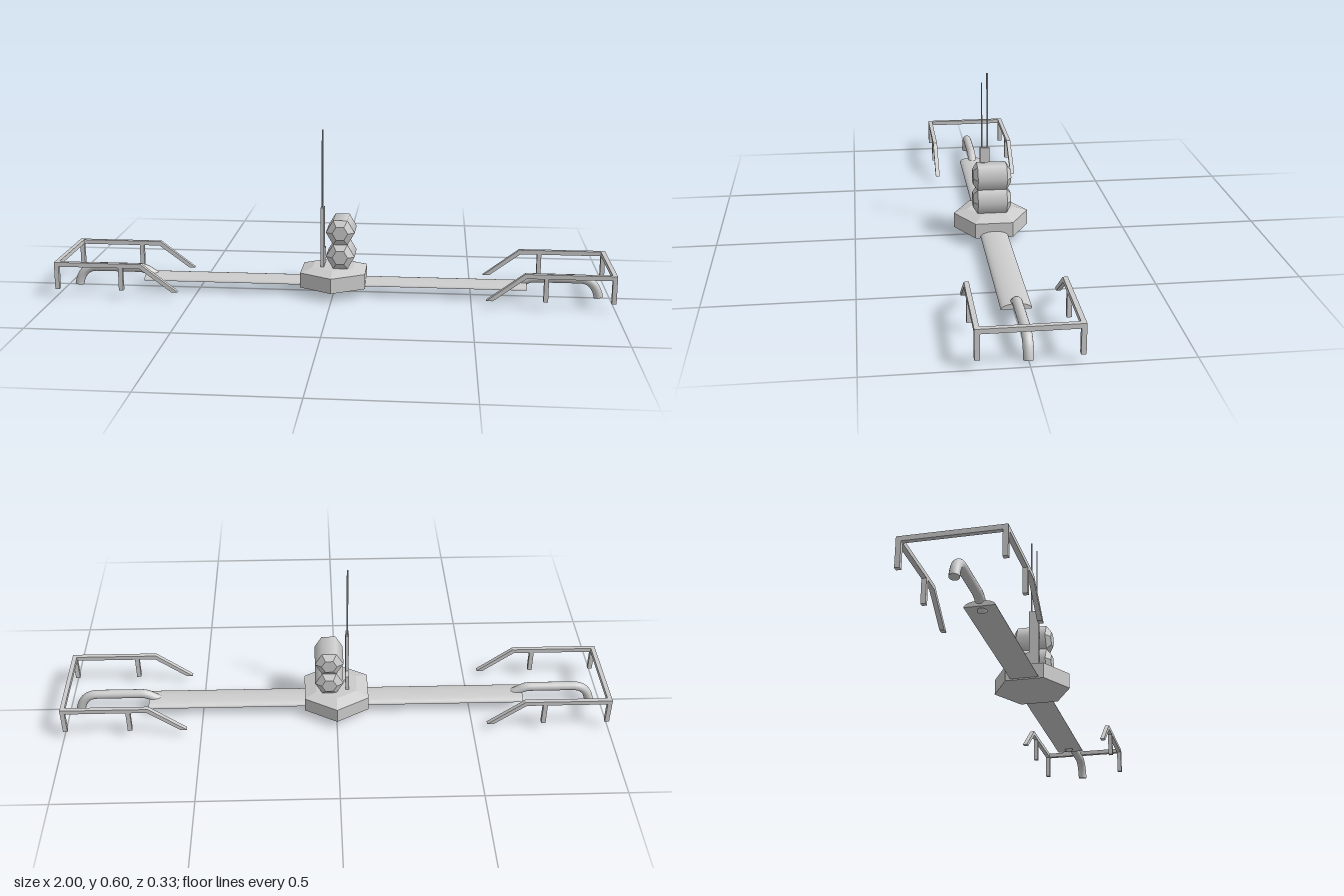
import * as THREE from 'three';

const smooth = new THREE.MeshStandardMaterial({ color: 0xcccccc });
const flat = new THREE.MeshStandardMaterial({ color: 0xcccccc, flatShading: true });

function add(parent, name, geometry, material, x = 0, y = 0, z = 0) {
  const mesh = new THREE.Mesh(geometry, material);
  mesh.name = name;
  mesh.position.set(x, y, z);
  parent.add(mesh);
  return mesh;
}

// box given by its minimum and maximum corners
function box(parent, name, a, b) {
  const size = b.map((v, i) => v - a[i]);
  const mid = b.map((v, i) => (v + a[i]) / 2);
  return add(parent, name, new THREE.BoxGeometry(...size), flat, ...mid);
}

// hexagonal drum along z with chamfered ends
function drum(y) {
  const group = new THREE.Group();
  group.name = 'drum';
  const hex = (front, back, depth, open) =>
    new THREE.CylinderGeometry(front, back, depth, 6, 1, open, Math.PI / 2).rotateX(Math.PI / 2);
  add(group, 'drumBody', hex(0.052, 0.052, 0.106, true), smooth);
  add(group, 'drumFrontEnd', hex(0.028, 0.052, 0.016), flat, 0, 0, 0.061);
  add(group, 'drumBackEnd', hex(0.052, 0.028, 0.016), flat, 0, 0, -0.061);
  group.position.set(0.027, y, 0);
  return group;
}

// bent hose with closed ends
function hose() {
  const group = new THREE.Group();
  group.name = 'hose';
  const v = (x, y) => new THREE.Vector3(x, y, 0);
  const path = new THREE.CurvePath();
  path.add(new THREE.LineCurve3(v(0.66, 0.037), v(0.697, 0.06)));
  path.add(new THREE.QuadraticBezierCurve3(v(0.697, 0.06), v(0.712, 0.069), v(0.732, 0.069)));
  path.add(new THREE.LineCurve3(v(0.732, 0.069), v(0.89, 0.069)));
  path.add(new THREE.CubicBezierCurve3(v(0.89, 0.069), v(0.93, 0.069), v(0.952, 0.045), v(0.961, 0.002)));
  add(group, 'hoseTube', new THREE.TubeGeometry(path, 60, 0.0165, 16), smooth);
  for (const t of [0, 1]) {
    const p = path.getPointAt(t);
    const cap = add(group, 'hoseEnd', new THREE.CircleGeometry(0.0165, 16), smooth, p.x, p.y, p.z);
    const out = path.getTangentAt(t).multiplyScalar(t ? 1 : -1);
    cap.quaternion.setFromUnitVectors(new THREE.Vector3(0, 0, 1), out);
  }
  return group;
}

// guard rail around one end of the bar
function guardRail() {
  const group = new THREE.Group();
  group.name = 'guardRail';
  const profile = new THREE.Shape([
    [1, 0.13], [0.683, 0.13], [0.55, 0.029], [0.573, 0.029], [0.688, 0.114], [1, 0.114],
  ].map(([x, y]) => new THREE.Vector2(x, y)));
  const rail = new THREE.ExtrudeGeometry(profile, { depth: 0.016, bevelEnabled: false });
  for (const z of [-0.164, 0.148]) {
    add(group, 'sideRail', rail, flat, 0, 0, z);
    for (const x of [0.749, 0.984]) {
      box(group, 'railPost', [x, 0.03, z], [x + 0.016, 0.114, z + 0.016]);
    }
  }
  box(group, 'endRail', [0.984, 0.114, -0.148], [1, 0.13, 0.148]);
  return group;
}

export function createModel() {
  const model = new THREE.Group();
  model.name = 'model';

  // hexagonal hub with a bevelled top
  add(model, 'hubBase', new THREE.CylinderGeometry(0.136, 0.136, 0.055, 6), flat, 0, 0.0575, 0);
  add(model, 'hubTop', new THREE.CylinderGeometry(0.086, 0.136, 0.015, 6), flat, 0, 0.0925, 0);

  // long bar with a rounded top and a flat underside
  const bar = new THREE.CylinderGeometry(1, 1, 1.4, 24, 1, false, 0, Math.PI);
  bar.rotateZ(Math.PI / 2).scale(1, 0.019, 0.05);
  add(model, 'bar', bar, smooth, 0, 0.035, 0);
  add(model, 'barUnderside', new THREE.PlaneGeometry(1.4, 0.1).rotateX(Math.PI / 2), flat, 0, 0.035, 0);

  // stacked drums
  model.add(drum(0.145), drum(0.235));

  // antenna mount and rods
  box(model, 'antennaMount', [-0.046, 0.098, 0], [-0.034, 0.321, 0.035]);
  box(model, 'antennaBracket', [-0.046, 0.098, -0.035], [-0.034, 0.16, 0]);
  for (const [z, top, r] of [[0.028, 0.567, 0.0023], [0.008, 0.602, 0.003]]) {
    const rod = new THREE.CylinderGeometry(r, r, top - 0.3, 8);
    add(model, 'antennaRod', rod, smooth, -0.04, (top + 0.3) / 2, z);
  }

  // matching hose and guard rail at both ends
  for (const turn of [0, Math.PI]) {
    const end = new THREE.Group();
    end.name = turn ? 'rightEnd' : 'leftEnd';
    end.add(hose(), guardRail());
    end.rotation.y = turn;
    model.add(end);
  }
  return model;
}
